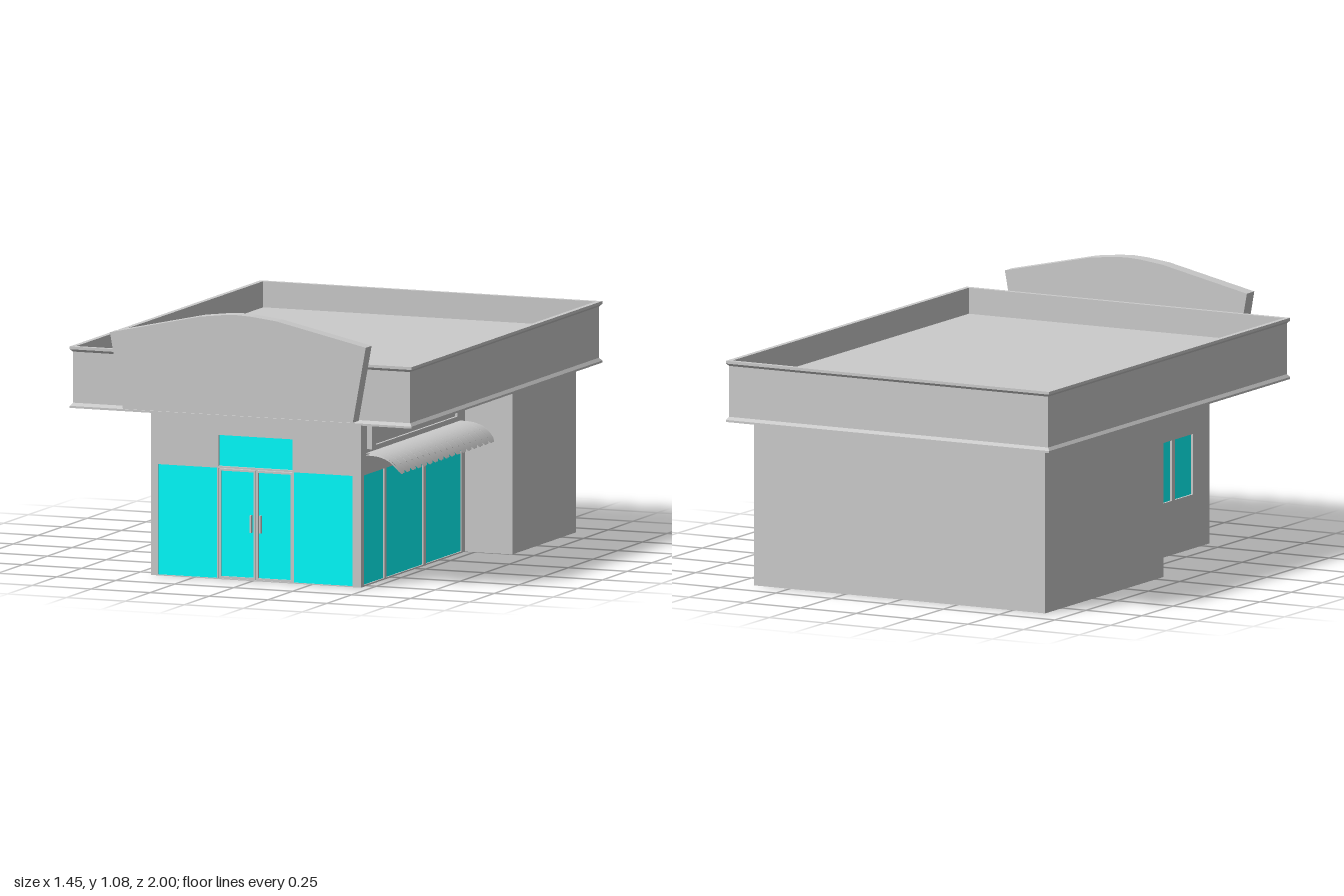
import * as THREE from 'three';
import { ParametricGeometry } from 'three/addons/geometries/ParametricGeometry.js';

const grey = new THREE.MeshStandardMaterial({ color: 0xcccccc });
const greyThin = new THREE.MeshStandardMaterial({ color: 0xcccccc, side: THREE.DoubleSide });
const glass = new THREE.MeshStandardMaterial({ color: 0x00ffff });
const T = 0.025; // wall thickness

function add(parent, name, geometry, material = grey) {
  const mesh = new THREE.Mesh(geometry, material);
  mesh.name = name;
  parent.add(mesh);
  return mesh;
}

// Box given by its limits on each axis
function block(parent, name, [x0, x1], [y0, y1], [z0, z1], material) {
  const mesh = add(parent, name, new THREE.BoxGeometry(x1 - x0, y1 - y0, z1 - z0), material);
  mesh.position.set((x0 + x1) / 2, (y0 + y1) / 2, (z0 + z1) / 2);
  return mesh;
}

function rect(path, [u0, u1, y0, y1]) {
  return path.moveTo(u0, y0).lineTo(u1, y0).lineTo(u1, y1).lineTo(u0, y1).closePath();
}

// Upright plate with rectangular openings, all as [u0, u1, y0, y1]
function plate(parent, name, outline, holes, depth) {
  const shape = rect(new THREE.Shape(), outline);
  shape.holes = holes.map((h) => rect(new THREE.Path(), h));
  return add(parent, name, new THREE.ExtrudeGeometry(shape, { depth, bevelEnabled: false }));
}

// Plate lying along z, with outer face towards +x
function sidePlate(parent, name, x, [z0, z1, y0, y1], holes, depth) {
  const mesh = plate(parent, name, [-z1, -z0, y0, y1], holes.map(([a, b, c, d]) => [-b, -a, c, d]), depth);
  mesh.rotation.y = Math.PI / 2;
  mesh.position.x = x;
  return mesh;
}

// Mitred moulding: a profile of [offset, y] carried round a rectangle
function mitredBand(profile, hx, zBack, zFront) {
  const corners = ([o, y]) => [
    [hx + o, y, zFront + o], [hx + o, y, zBack - o], [-hx - o, y, zBack - o], [-hx - o, y, zFront + o],
  ];
  const pos = [];
  for (let i = 0; i < profile.length - 1; i++) {
    const lo = corners(profile[i]), hi = corners(profile[i + 1]);
    for (let k = 0; k < 4; k++) {
      const n = (k + 1) % 4;
      pos.push(...lo[k], ...lo[n], ...hi[n], ...lo[k], ...hi[n], ...hi[k]);
    }
  }
  const geometry = new THREE.BufferGeometry();
  geometry.setAttribute('position', new THREE.Float32BufferAttribute(pos, 3));
  geometry.computeVertexNormals();
  return geometry;
}

function buildWalls(g) {
  const H = 0.66;
  const front = plate(g, 'frontWall', [-0.43, 0.46, 0, H],
    [[-0.4, -0.15, 0.004, 0.44], [-0.145, 0.17, 0.004, 0.44], [0.175, 0.425, 0.004, 0.44], [-0.145, 0.17, 0.447, 0.57]], T);
  front.position.z = 0.81 - T;
  sidePlate(g, 'shopWindowWall', 0.46 - T, [-0.245, 0.81 - T, 0, H], [[-0.21, 0.78, 0.006, 0.44]], T);
  sidePlate(g, 'servingWindowWall', -0.43, [0.06, 0.81 - T, 0, H], [[0.21, 0.68, 0.215, 0.455]], T);

  // Wider rear part and the closet
  block(g, 'rearStepWall', [0.46 - T, 0.66], [0, H], [-0.245 - T, -0.245]);
  block(g, 'rearLeftWall', [0.66 - T, 0.66], [0, H], [-0.89, -0.245 - T]);
  block(g, 'backWall', [-0.645, 0.66 - T], [0, H], [-0.89, -0.89 + T]);
  block(g, 'rearRightWall', [-0.645, -0.645 + T], [0, H], [-0.89 + T, 0.06]);
  block(g, 'closetFrontWall', [-0.645 + T, -0.43 + T], [0, H], [0.06 - T, 0.06]);
  block(g, 'closetSideWall', [-0.43 - T, -0.43], [0, H], [-0.245, 0.06 - T]);
  block(g, 'closetBackWall', [-0.645 + T, -0.43], [0, H], [-0.245, -0.245 + T]);
  const knob = add(g, 'closetDoorKnob', new THREE.SphereGeometry(0.011, 12, 8));
  knob.position.set(-0.418, 0.25, 0.0);
}

function buildGlazing(g) {
  // Front windows and transom
  const zf = [0.795, 0.806];
  block(g, 'frontWindowRight', [-0.4, -0.15], [0.004, 0.44], zf, glass);
  block(g, 'frontWindowLeft', [0.175, 0.425], [0.004, 0.44], zf, glass);
  block(g, 'transomWindow', [-0.145, 0.17], [0.447, 0.57], [0.79, 0.798], glass);

  // Double door
  for (const [x0, x1, handleX] of [[-0.143, 0.0105, -0.008], [0.0145, 0.168, 0.033]]) {
    const leaf = new THREE.Group();
    leaf.name = 'doorLeaf';
    g.add(leaf);
    const f = 0.008;
    plate(leaf, 'doorFrame', [x0, x1, 0.004, 0.437], [[x0 + f, x1 - f, 0.004 + f, 0.437 - f]], 0.018).position.z = 0.789;
    block(leaf, 'doorGlass', [x0 + f, x1 - f], [0.004 + f, 0.437 - f], [0.794, 0.8], glass);
    block(leaf, 'doorHandle', [handleX - 0.003, handleX + 0.003], [0.19, 0.26], [0.8, 0.815]);
  }

  // Shop windows on the side, with mullions
  block(g, 'sideWindow', [0.44, 0.454], [0.006, 0.44], [-0.21, 0.78], glass);
  for (const z of [0.56, 0.165]) block(g, 'sideMullion', [0.436, 0.46], [0.006, 0.44], [z - 0.011, z + 0.011]);

  // Three-pane serving window with an inside counter
  block(g, 'servingWindow', [-0.421, -0.413], [0.215, 0.455], [0.21, 0.68], glass);
  for (const z of [0.367, 0.523]) block(g, 'servingMullion', [-0.43, -0.405], [0.215, 0.455], [z - 0.012, z + 0.012]);
  block(g, 'servingCounter', [-0.43 + T, -0.31], [0.195, 0.213], [0.2, 0.69]);
}

function buildAwning(g) {
  const awning = new THREE.Group();
  awning.name = 'awning';
  g.add(awning);
  const curve = new THREE.CubicBezierCurve(
    new THREE.Vector2(0.46, 0.52), new THREE.Vector2(0.54, 0.525),
    new THREE.Vector2(0.58, 0.5), new THREE.Vector2(0.61, 0.45));
  const count = 17, z0 = -0.19, step = 0.96 / count;
  // Each strip ends in a rounded scallop
  const surface = (i, lift) => new ParametricGeometry((u, v, out) => {
    const end = 0.72 + 0.28 * Math.sqrt(Math.max(0, 1 - (2 * u - 1) ** 2));
    const t = v * end;
    const p = curve.getPoint(t), d = curve.getTangent(t);
    out.set(p.x - d.y * lift, p.y + d.x * lift, z0 + (i + u) * step);
  }, 12, 10);
  for (let i = 0; i < count; i++) {
    add(awning, 'scallopTop', surface(i, 0.005), greyThin);
    add(awning, 'scallopUnderside', surface(i, -0.003), greyThin);
  }
}

function buildRoof(g) {
  const fascia = [[-0.01, 0.66], [0.01, 0.66], [0.01, 0.668], [0, 0.68], [0, 0.882],
    [0.01, 0.892], [0.01, 0.903], [-0.01, 0.903], [-0.01, 0.8]];
  add(g, 'fascia', mitredBand(fascia, 0.715, -0.99, 0.92), greyThin);
  block(g, 'roofSlab', [-0.705, 0.705], [0.66, 0.8], [-0.98, 0.91]);

  // Flared front signboard with an arched top
  const shape = new THREE.Shape([[-0.47, 0.68], [0.505, 0.68], [0.56, 0.98], [0.18, 1.063], [0.075, 1.075],
    [0.015, 1.078], [-0.045, 1.075], [-0.145, 1.063], [-0.525, 0.98]].map(([x, y]) => new THREE.Vector2(x, y)));
  add(g, 'signboard', new THREE.ExtrudeGeometry(shape, { depth: 0.06, bevelEnabled: false })).position.z = 0.94;
}

export function createModel() {
  const g = new THREE.Group();
  g.name = 'shop';
  buildWalls(g);
  buildGlazing(g);
  buildAwning(g);
  buildRoof(g);
  // Blank sign panel over the awning
  sidePlate(g, 'sidePanelFrame', 0.46, [-0.165, 0.75, 0.54, 0.653], [[-0.115, 0.71, 0.553, 0.64]], 0.022);
  block(g, 'sidePanel', [0.46, 0.472], [0.553, 0.64], [-0.115, 0.71]);
  return g;
}
